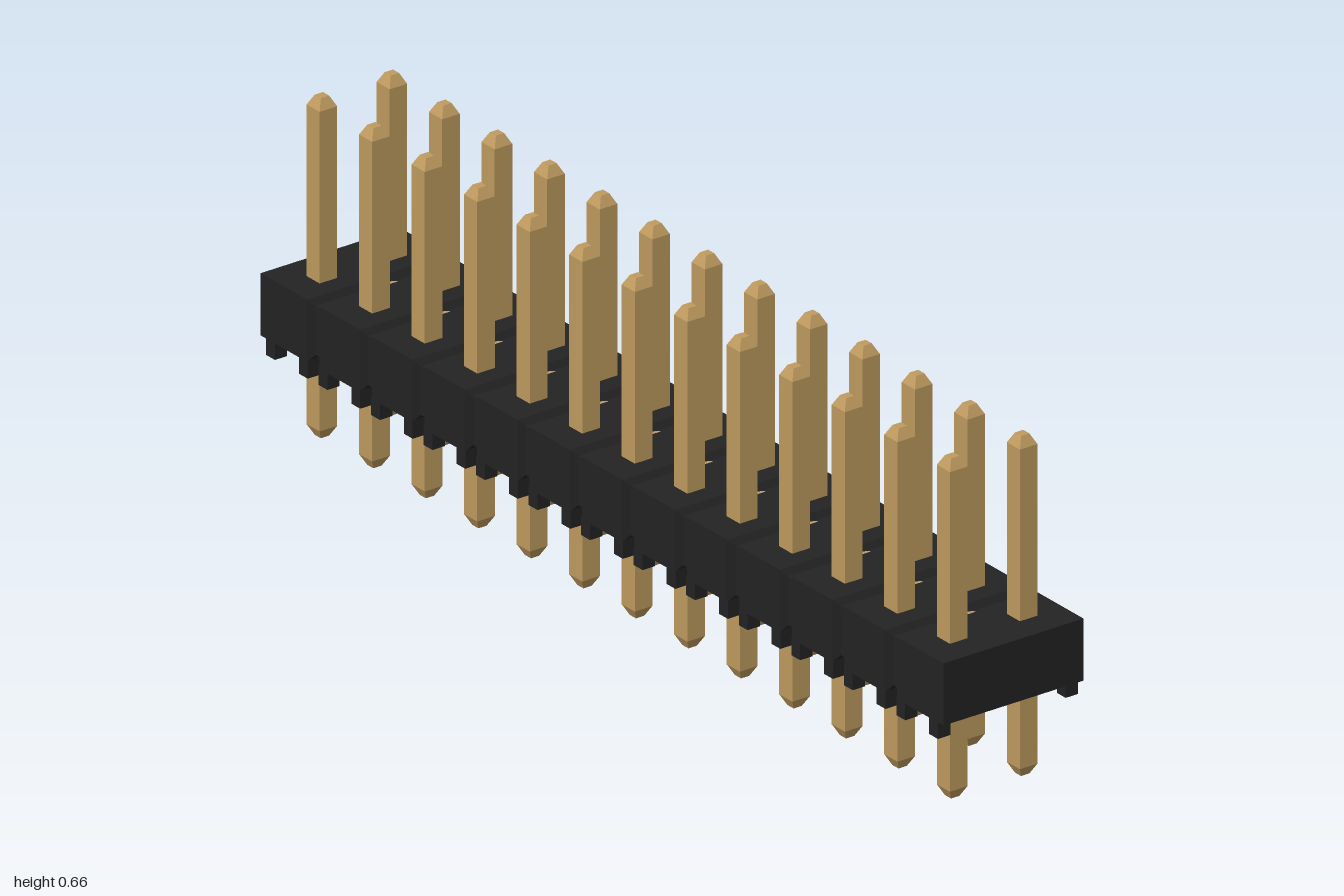
import * as THREE from 'three';

const ROWS = 13;
const PITCH = 2 / ROWS;
const HALF_WIDTH = PITCH;
const BOTTOM = 0.187, TOP = 0.308;

// Housing: rectangular sections along z, pinched in at every joint between rows
function housingGeometry() {
  const sections = [];
  const add = (z, inset) => {
    const x = HALF_WIDTH - inset, b = BOTTOM + inset, t = TOP - inset;
    sections.push([[x, b, z], [x, t, z], [-x, t, z], [-x, b, z]]);
  };
  add(-1, 0);
  for (let i = 1; i < ROWS; i++) {
    const z = -1 + i * PITCH;
    add(z - 0.018, 0);
    add(z - 0.01, 0.013);
    add(z + 0.01, 0.013);
    add(z + 0.018, 0);
  }
  add(1, 0);

  const positions = [];
  const quad = (a, b, c, d) => positions.push(...a, ...b, ...c, ...a, ...c, ...d);
  for (let s = 0; s < sections.length - 1; s++) {
    const p = sections[s], q = sections[s + 1];
    for (let i = 0; i < 4; i++) {
      const j = (i + 1) % 4;
      quad(p[i], p[j], q[j], q[i]);
    }
  }
  const back = sections[0], front = sections[sections.length - 1];
  quad(front[0], front[1], front[2], front[3]);
  quad(back[3], back[2], back[1], back[0]);

  const geometry = new THREE.BufferGeometry();
  geometry.setAttribute('position', new THREE.Float32BufferAttribute(positions, 3));
  geometry.computeVertexNormals();
  return geometry;
}

// Square pin with tapered tips at both ends
function pinGeometry() {
  const r = 0.0193 * Math.SQRT2, tip = 0.009 * Math.SQRT2, height = 0.662;
  const profile = [[0, 0], [tip, 0], [r, 0.02], [r, height - 0.02], [tip, height], [0, height]];
  const lathe = new THREE.LatheGeometry(profile.map(([x, y]) => new THREE.Vector2(x, y)), 4, Math.PI / 4);
  const geometry = lathe.toNonIndexed();
  geometry.computeVertexNormals();
  return geometry;
}

export function createModel() {
  const model = new THREE.Group();
  model.name = 'pinHeader';

  const black = new THREE.MeshStandardMaterial({ color: 0x232323 });
  black.name = 'black plastic';
  const gold = new THREE.MeshStandardMaterial({ color: 0xbf9b5f });
  gold.name = 'gold metal';

  const add = (name, geometry, material, x = 0, y = 0, z = 0) => {
    const mesh = new THREE.Mesh(geometry, material);
    mesh.name = name;
    mesh.position.set(x, y, z);
    model.add(mesh);
    return mesh;
  };

  add('housing', housingGeometry(), black);

  // Two pins and four standoff feet per row
  const pin = pinGeometry();
  const foot = new THREE.BoxGeometry(0.027, 0.036, 0.026);
  for (let i = 0; i < ROWS; i++) {
    const z = -1 + (i + 0.5) * PITCH;
    for (const side of [-1, 1]) {
      add('pin', pin, gold, side * PITCH / 2, 0, z);
      for (const end of [-1, 1]) {
        add('foot', foot, black, side * (HALF_WIDTH - 0.0135), 0.173, z + end * 0.048);
      }
    }
  }

  // Small oval inlays in the joints on top
  const inlay = new THREE.CylinderGeometry(1, 1, 0.004, 20);
  inlay.scale(0.032, 1, 0.0095);
  for (let i = 1; i < ROWS; i++) {
    add('jointInlay', inlay, gold, 0, TOP - 0.012, -1 + i * PITCH);
  }

  return model;
}
